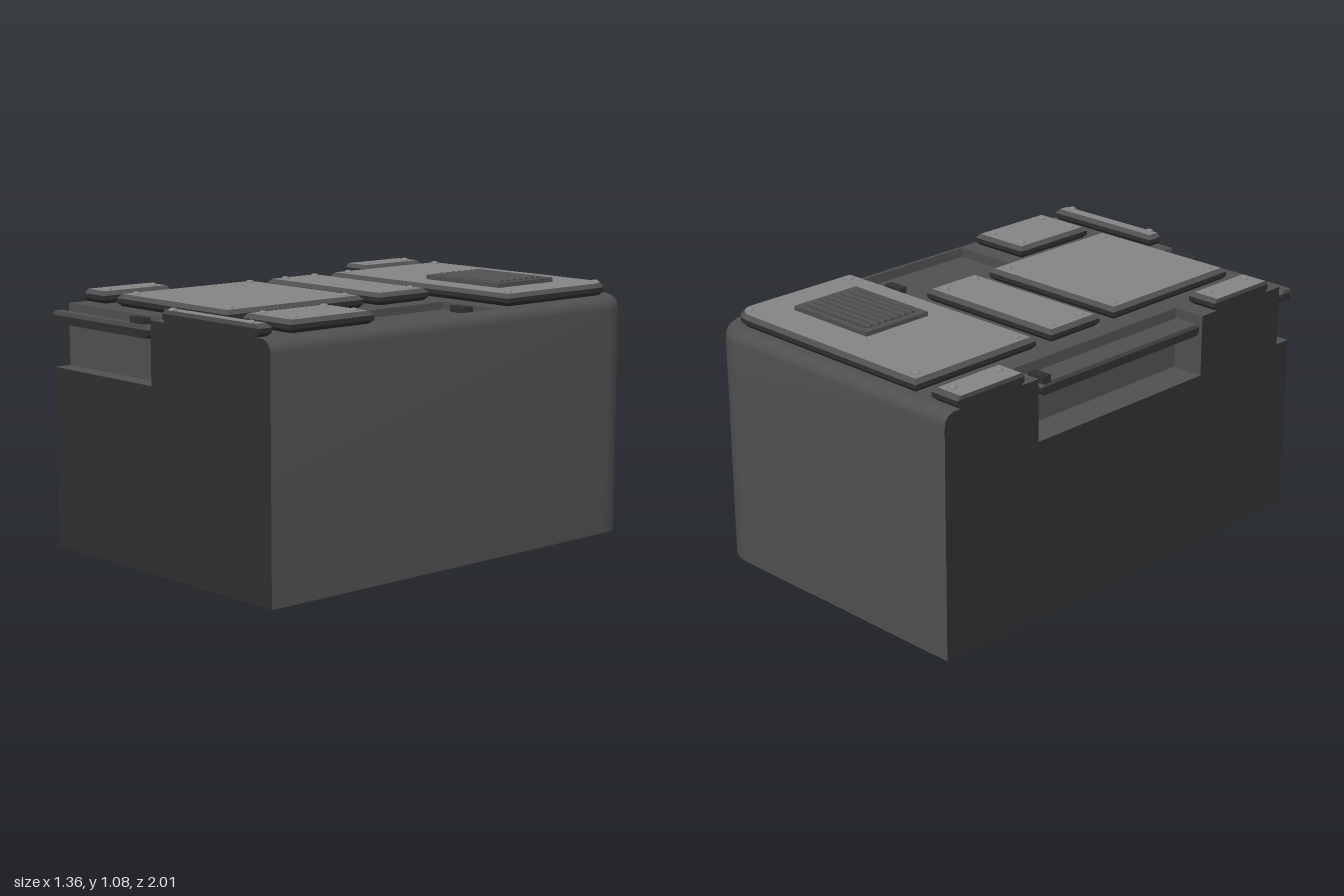
import * as THREE from 'three';
import { toCreasedNormals } from 'three/addons/utils/BufferGeometryUtils.js';

const LEFT = -0.68, FRONT = 1, FLOOR = 0.745;   // cut planes and recess floor
const mat = (name, color, side = THREE.FrontSide) => {
  const m = new THREE.MeshStandardMaterial({ color, side });
  m.name = name;
  return m;
};

// Outline with one rounded corner (+x, -z), trimmed by the two cut planes
function ring([x0, x1, z0, z1], r, inset) {
  const a = x1 - inset, b = z0 + inset, k = Math.max(r - inset, 0.001);
  const pts = [[x0 + inset, z1 - inset], [a, z1 - inset]];
  const n = r > 0.01 ? 12 : 1;
  for (let i = 0; i <= n; i++) {
    const t = (i / n) * Math.PI / 2;
    pts.push([a - k + k * Math.cos(t), b + k - k * Math.sin(t)]);
  }
  pts.push([x0 + inset, b]);
  return pts.map(([x, z]) => [Math.max(x, LEFT), Math.min(z, FRONT)]);
}

// Skin through outlines at each [inset, height]
function loft(rect, r, profile, open = false) {
  const pos = [], rings = profile.map(([i, y]) => ring(rect, r, i).map(([x, z]) => [x, y, z]));
  for (let j = 0; j + 1 < rings.length; j++) {
    const lo = rings[j], hi = rings[j + 1], n = lo.length;
    for (let i = open ? 1 : 0; i < (open ? n - 1 : n); i++) {
      const k = (i + 1) % n;
      pos.push(...lo[i], ...lo[k], ...hi[k], ...lo[i], ...hi[k], ...hi[i]);
    }
  }
  const g = new THREE.BufferGeometry();
  g.setAttribute('position', new THREE.Float32BufferAttribute(pos, 3));
  return toCreasedNormals(g, 0.5);
}

const toShape = (pts) => new THREE.Shape(pts.map(([x, y]) => new THREE.Vector2(x, y)));
function flat(pts, y, holes = []) {
  const s = toShape(pts.map(([x, z]) => [x, -z]));
  s.holes = holes.map((h) => toShape(h.map(([x, z]) => [x, -z])));
  return new THREE.ShapeGeometry(s).rotateX(-Math.PI / 2).translate(0, y, 0);
}

export function createModel() {
  const model = new THREE.Group();
  const hull = mat('hull grey', 0x505050);
  const inner = mat('recess grey', 0x505050, THREE.DoubleSide);
  const plate = mat('plate grey', 0x858585);
  const dark = mat('dark edge', 0x303030);
  const add = (name, geo, m, parent = model) => {
    const mesh = new THREE.Mesh(geo, m);
    mesh.name = name;
    parent.add(mesh);
    return mesh;
  };
  const box = (name, x0, x1, y0, y1, z0, z1, m, parent) =>
    add(name, new THREE.BoxGeometry(x1 - x0, y1 - y0, z1 - z0), m, parent)
      .position.set((x0 + x1) / 2, (y0 + y1) / 2, (z0 + z1) / 2);

  // Outer walls with rounded corner and top edge
  const bodyRect = [-2, 0.675, -1, 3], arc = [];
  for (let i = 0; i <= 6; i++) {
    const t = (i / 6) * Math.PI / 2;
    arc.push([0.05 - 0.05 * Math.cos(t), 0.95 + 0.05 * Math.sin(t)]);
  }
  add('outerWalls', loft(bodyRect, 0.17, [[0, 0], ...arc], true), hull);
  add('underside', flat(ring(bodyRect, 0.17, 0), 0).scale(1, -1, 1), inner);

  // Deck with two edge notches and one well
  const wells = [
    { rect: [-2, -0.54, -0.515, 0.43], latch: [-0.68, -0.6, -0.49, -0.45] },
    { rect: [0.315, 0.62, -0.225, 0.355], latch: [0.42, 0.51, -0.2, -0.16] },
    { rect: [-2, -0.035, 0.925, 3], latch: [-0.19, -0.1, 0.95, 0.985] },
  ];
  const deck = ring(bodyRect, 0.17, 0.05).slice(1);
  deck.push([LEFT, -0.515], [-0.54, -0.515], [-0.54, 0.43], [LEFT, 0.43],
    [LEFT, 0.925], [-0.035, 0.925], [-0.035, FRONT]);
  add('deck', flat(deck, 1, [ring(wells[1].rect, 0, 0)]), hull);

  // Cut faces
  const round = (edge, s) => arc.map(([i, y]) => [edge + s * i, y]);
  add('frontFace', new THREE.ShapeGeometry(toShape([
    [LEFT, 0], [0.675, 0], ...round(0.675, -1), [-0.035, 1], [-0.035, FLOOR], [LEFT, FLOOR],
  ])).translate(0, 0, FRONT), dark);
  add('sideFace', new THREE.ShapeGeometry(toShape([
    [-1, 0], [FRONT, 0], [FRONT, FLOOR], [0.925, FLOOR], [0.925, 1], [0.43, 1], [0.43, FLOOR],
    [-0.515, FLOOR], [-0.515, 1], ...round(-1, 1).reverse(),
  ])).rotateY(-Math.PI / 2).translate(LEFT, 0, 0), dark);

  // Bevelled slab used for plates and well lids
  function slab(name, rect, y, topMat, r = 0) {
    const g = new THREE.Group();
    g.name = name;
    model.add(g);
    add('edge', loft(rect, r, [[0.015, y], [0, y + 0.015], [0, y + 0.033]]), dark, g);
    add('bevel', loft(rect, r, [[0, y + 0.033], [0.016, y + 0.05]]), hull, g);
    add('top', flat(ring(rect, r, 0.016), y + 0.05), topMat, g);
    add('bottom', flat(ring(rect, r, 0.015), y), inner, g);
    return g;
  }

  // Wells: walls, floor, sunken lid and latch
  for (const { rect, latch } of wells) {
    const [x0, x1, z0, z1] = rect;
    const a = Math.max(x0, LEFT), b = Math.min(z1, FRONT), h = 1 - FLOOR, y = FLOOR + h / 2;
    const wallX = (x) => add('wellWall', new THREE.PlaneGeometry(b - z0, h).rotateY(Math.PI / 2)
      .translate(x, y, (z0 + b) / 2), inner);
    const wallZ = (z) => add('wellWall', new THREE.PlaneGeometry(x1 - a, h)
      .translate((a + x1) / 2, y, z), inner);
    wallX(x1);
    wallZ(z0);
    if (x0 > LEFT) wallX(x0);
    if (z1 < FRONT) wallZ(z1);
    add('wellFloor', flat(ring(rect, 0, 0), FLOOR), inner);
    slab('wellLid', [x0 + 0.018, x1 - 0.018, z0 + 0.018, z1 - 0.018], 0.925, hull);
    box('latch', latch[0], latch[1], 0.97, 1, latch[2], latch[3], dark);
  }

  // Raised plates with corner rivets
  const plates = [
    [[-0.46, 0.61, -0.935, -0.3], 0.1], [[-0.46, 0.24, -0.215, 0.06]],
    [[-0.46, 0.24, 0.145, 0.845]], [[0.33, 0.61, 0.43, 0.845]],
    [[0.04, 0.61, 0.935, 3]], [[-2, -0.545, -0.935, -0.59]], [[-2, -0.545, 0.505, 0.845]],
  ];
  for (const [rect, r] of plates) {
    const g = slab('raisedPlate', rect, 1, plate, r || 0);
    for (const x of [rect[0] + 0.055, rect[1] - 0.055])
      for (const z of [rect[2] + 0.055, rect[3] - 0.055])
        if (x > LEFT && z < FRONT)
          add('rivet', new THREE.SphereGeometry(0.018, 12, 4, 0, Math.PI * 2, 0, Math.PI / 2)
            .scale(1, 0.6, 1), plate, g).position.set(x, 1.05, z);
  }

  // Vent: frame, dark bed and louvres
  const vent = new THREE.Group();
  vent.name = 'vent';
  model.add(vent);
  box('ventBed', 0.02, 0.415, 1.045, 1.054, -0.74, -0.445, dark, vent);
  for (const [x0, x1, z0, z1] of [[0.005, 0.43, -0.755, -0.725], [0.005, 0.43, -0.46, -0.43],
    [0.005, 0.035, -0.725, -0.46], [0.4, 0.43, -0.725, -0.46]])
    box('ventFrame', x0, x1, 1.045, 1.068, z0, z1, hull, vent);
  for (let i = 0; i < 7; i++)
    add('louvre', new THREE.CylinderGeometry(0.012, 0.012, 0.36, 8).rotateZ(Math.PI / 2), hull, vent)
      .position.set(0.2175, 1.065, -0.7 + i * 0.036);

  return model;
}
